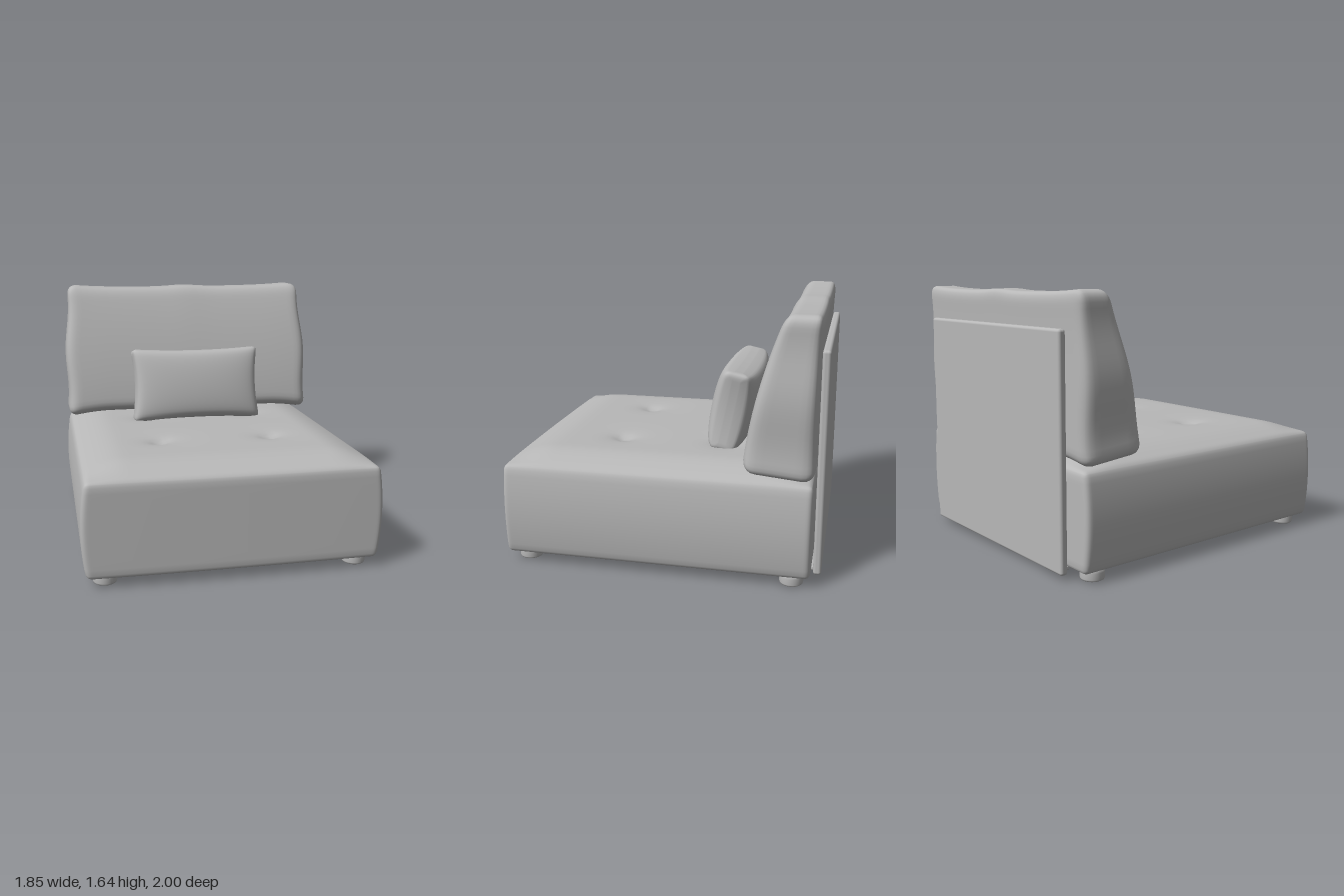
import * as THREE from 'three';
import { mergeVertices } from 'three/addons/utils/BufferGeometryUtils.js';
import { RoundedBoxGeometry } from 'three/addons/geometries/RoundedBoxGeometry.js';

const clamp = THREE.MathUtils.clamp;
const fabric = new THREE.MeshStandardMaterial({ color: 0xb8b8b8 });
fabric.name = 'greyFabric';

// Finely divided rounded box, reshaped by a rule deform(point, u, v, w); u, v, w run from -1 to 1
function softBox(name, half, radius, segs, deform) {
  const geo = new THREE.BoxGeometry(2, 2, 2, ...segs);
  geo.deleteAttribute('uv');
  geo.deleteAttribute('normal');
  const pos = geo.attributes.position;
  const p = new THREE.Vector3(), inner = new THREE.Vector3();
  for (let i = 0; i < pos.count; i++) {
    p.fromBufferAttribute(pos, i);
    ['x', 'y', 'z'].forEach((a, k) => {
      p[a] = Math.sin(p[a] * Math.PI / 2) * half[k];
      inner[a] = clamp(p[a], radius - half[k], half[k] - radius);
    });
    p.sub(inner).normalize().multiplyScalar(radius).add(inner);
    deform(p, p.x / half[0], p.y / half[1], p.z / half[2]);
    pos.setXYZ(i, p.x, p.y, p.z);
  }
  const merged = mergeVertices(geo, 1e-5);
  merged.computeVertexNormals();
  const mesh = new THREE.Mesh(merged, fabric);
  mesh.name = name;
  return mesh;
}

// Rises quickly from the rim, then stays level
const crown = (u, band) => Math.sin(clamp((1 - Math.abs(u)) / band, 0, 1) * Math.PI / 2);

function makeSeat() {
  const tufts = [[-0.37, 0.35], [0.37, 0.35], [-0.37, -0.33], [0.37, -0.33]];
  return softBox('seat', [0.9, 0.295, 0.97], 0.035, [64, 14, 64], (p, u, v, w) => {
    const top = Math.max(v, 0) ** 4;
    // bulging sides, gently bowed front
    p.x *= 1 + 0.03 * (1 - v * v);
    if (w > 0) p.z -= 0.012 * u * u * w ** 4;
    p.y += 0.355 + top * 0.07 * crown(u, 0.3) * crown(w, 0.3);
    p.z += 0.03;
    // button dimples
    for (const [x, z] of tufts) {
      const d = Math.hypot(p.x - x, p.z - z);
      p.y -= top * (0.03 * Math.exp(-((d / 0.05) ** 2)) + 0.015 * Math.exp(-((d / 0.13) ** 2)));
    }
  });
}

function makeBackCushion() {
  return softBox('backCushion', [0.91, 0.475, 0.21], 0.075, [40, 28, 14], (p, u, v, w) => {
    const t = clamp((v + 1) / 2, 0, 1);
    // tapers upwards against a straight back
    const depth = 0.43 - 0.22 * t ** 1.5;
    p.z = -0.945 + depth * (w + 1) / 2 - 0.015 * t ** 6;
    // slightly waisted sides and a wavy top edge
    p.x *= 1.015 - 0.03 * t - 0.012 * Math.sin(t * Math.PI * 3);
    const wave = 0.025 * u ** 4 + 0.012 * Math.exp(-((u / 0.15) ** 2)) - 0.01;
    p.y += 1.16 + wave * t * t + (1 - t) * (0.035 * crown(u, 0.35) + 0.02 * w - 0.01);
  });
}

function makePillow() {
  const pillow = softBox('pillow', [0.47, 0.265, 0.16], 0.045, [32, 24, 12], (p, u, v, w) => {
    const puff = Math.sqrt(Math.max(0, (1 - u * u) * (1 - v * v)));
    // pinched edges leave pointed corners
    p.x *= 1 - 0.06 * (1 - v * v);
    p.y *= 1 - 0.07 * (1 - u * u);
    p.z = w * (0.045 + 0.11 * Math.sqrt(puff));
  });
  pillow.position.set(0, 0.945, -0.37);
  pillow.rotation.x = -0.2;
  return pillow;
}

function addBox(group, name, size, position, radius) {
  const mesh = new THREE.Mesh(new RoundedBoxGeometry(...size, 3, radius), fabric);
  mesh.position.set(...position);
  mesh.name = name;
  group.add(mesh);
}

export function createModel() {
  const model = new THREE.Group();
  model.name = 'armlessChair';
  model.add(makeSeat(), makeBackCushion(), makePillow());

  // Rear support panel with a lip under the seat
  addBox(model, 'backPanel', [1.51, 1.4, 0.05], [0, 0.73, -0.975], 0.018);
  addBox(model, 'panelLip', [1.4, 0.03, 0.08], [0, 0.048, -0.94], 0.01);

  // Short round feet, the rear pair set a little wider
  const profile = [[0, 0], [0.062, 0], [0.07, 0.005], [0.073, 0.014], [0.073, 0.05], [0.07, 0.08], [0, 0.08]]
    .map(([x, y]) => new THREE.Vector2(x, y));
  const footGeometry = new THREE.LatheGeometry(profile, 28);
  for (const [x, z, end] of [[0.785, 0.87, 'front'], [0.815, -0.825, 'back']]) {
    for (const side of [-1, 1]) {
      const foot = new THREE.Mesh(footGeometry, fabric);
      foot.position.set(x * side, 0, z);
      foot.name = end + (side > 0 ? 'LeftFoot' : 'RightFoot');
      model.add(foot);
    }
  }
  return model;
}
